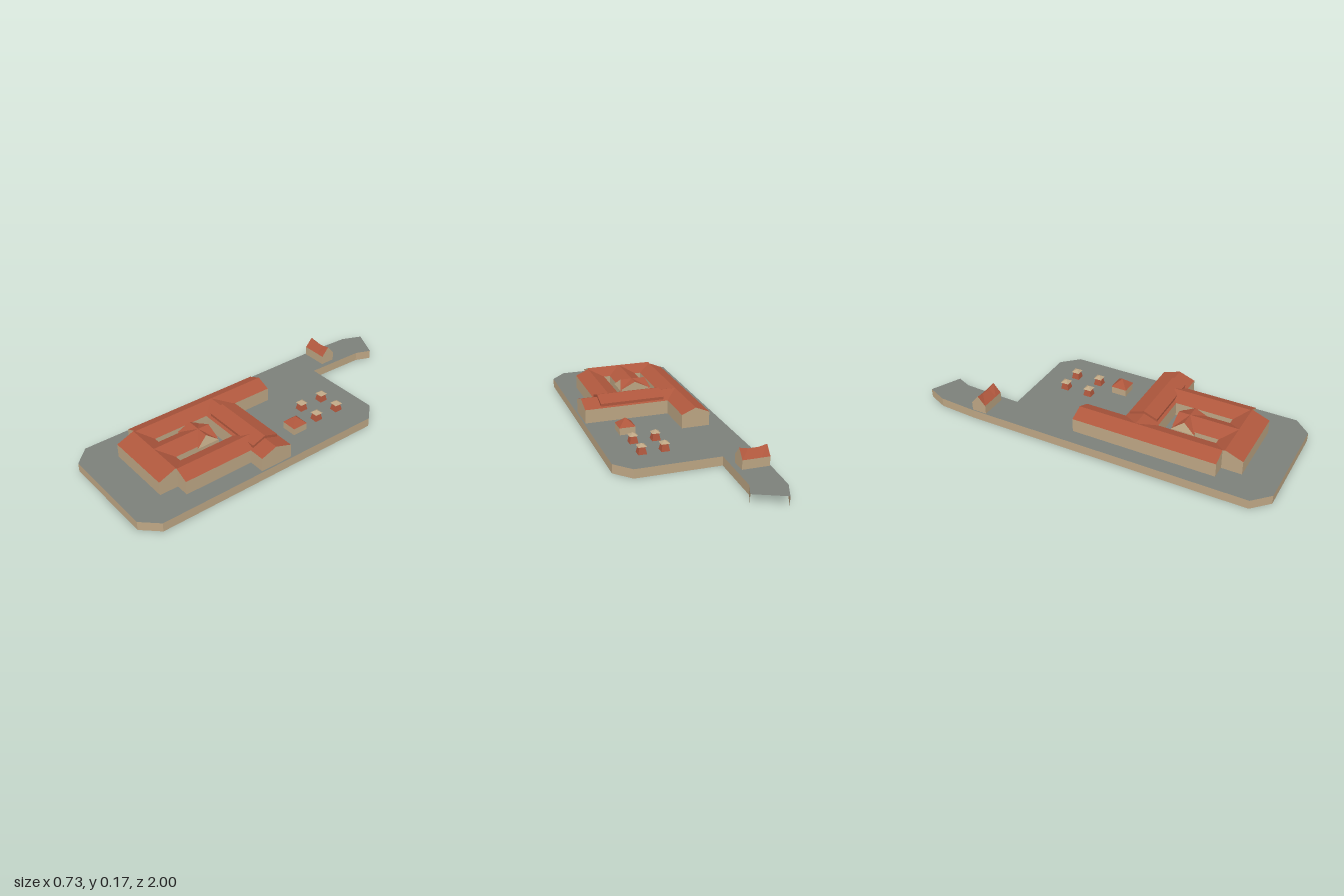
import * as THREE from 'three';

const material = (name, color) => {
  const m = new THREE.MeshStandardMaterial({ color, side: THREE.DoubleSide, flatShading: true });
  m.name = name;
  return m;
};

export function createModel() {
  const stone = material('sandstone', 0xbda684);
  const tile = material('roofTile', 0xaf573d);
  const paving = material('paving', 0x7c807a);
  const root = new THREE.Group();
  root.name = 'fortifiedMonastery';
  const GROUND = 0.05;

  // Mesh from a list of convex polygons, each a list of [x, y, z] corners
  function faces(name, mat, polys) {
    const pos = [];
    for (const p of polys)
      for (let i = 1; i < p.length - 1; i++) pos.push(...p[0], ...p[i], ...p[i + 1]);
    const g = new THREE.BufferGeometry();
    g.setAttribute('position', new THREE.Float32BufferAttribute(pos, 3));
    g.computeVertexNormals();
    const mesh = new THREE.Mesh(g, mat);
    mesh.name = name;
    return mesh;
  }

  // Gabled building; a..b runs along the ridge, c0..c1 across it.
  // 'profile' lists [t, height] along the ridge, 'lean' draws the ridge ends inward.
  function house(name, axis, [a, b], [c0, c1], ridgeAt, eave, profile, { base = GROUND, lean = 0, wall = stone } = {}) {
    const P = axis === 'x' ? (l, y, c) => [l, y, c] : (l, y, c) => [-c, y, l].map((v, i) => (i === 0 ? c : v));
    const orient = p => (axis === 'x' ? p : p.slice().reverse());
    const ridge = profile.map(([t, h]) => [a + lean + (b - a - 2 * lean) * t, h]);
    const eaves = profile.map(([t]) => a + (b - a) * t);
    const roof = [];
    for (let i = 0; i < ridge.length - 1; i++) {
      const [r0, h0] = ridge[i], [r1, h1] = ridge[i + 1], e0 = eaves[i], e1 = eaves[i + 1];
      roof.push(orient([P(e0, eave, c1), P(e1, eave, c1), P(r1, h1, ridgeAt), P(r0, h0, ridgeAt)]));
      roof.push(orient([P(e1, eave, c0), P(e0, eave, c0), P(r0, h0, ridgeAt), P(r1, h1, ridgeAt)]));
    }
    const [rs, hs] = ridge[0], [re, he] = ridge[ridge.length - 1];
    const walls = [
      [P(a, base, c1), P(b, base, c1), P(b, eave, c1), P(a, eave, c1)],
      [P(b, base, c0), P(a, base, c0), P(a, eave, c0), P(b, eave, c0)],
      [P(b, base, c1), P(b, base, c0), P(b, eave, c0), P(b, eave, c1)],
      [P(a, base, c0), P(a, base, c1), P(a, eave, c1), P(a, eave, c0)],
      [P(b, eave, c1), P(b, eave, c0), P(re, he, ridgeAt)],
      [P(a, eave, c0), P(a, eave, c1), P(rs, hs, ridgeAt)],
    ].map(orient);
    const g = new THREE.Group();
    g.name = name;
    g.add(faces(name + 'Walls', wall, walls), faces(name + 'Roof', tile, roof));
    root.add(g);
  }

  // Square frustum aligned with the axes
  function frustum(name, mat, x, z, halfBottom, halfTop, y0, y1) {
    const geo = new THREE.CylinderGeometry(halfTop * Math.SQRT2, halfBottom * Math.SQRT2, y1 - y0, 4, 1, true);
    geo.rotateY(Math.PI / 4);
    const m = new THREE.Mesh(geo, mat);
    m.position.set(x, (y0 + y1) / 2, z);
    m.name = name;
    root.add(m);
  }

  // Terrace with its causeway, open below and at the causeway's end
  const outline = [
    [-0.143, -0.923], [-0.177, -0.84], [-0.187, -0.505], [0.278, -0.505], [0.362, -0.415],
    [0.362, 0.912], [0.278, 1], [-0.278, 1], [-0.365, 0.912], [-0.365, -0.67], [-0.352, -0.89], [-0.305, -1],
  ];
  const deckGeo = new THREE.ShapeGeometry(new THREE.Shape(outline.map(([x, z]) => new THREE.Vector2(x, -z))));
  deckGeo.rotateX(-Math.PI / 2);
  const deck = new THREE.Mesh(deckGeo, paving);
  deck.name = 'terracePaving';
  deck.position.y = GROUND;
  root.add(deck);
  const sides = [];
  for (let i = 0; i < outline.length - 1; i++) {
    const [x0, z0] = outline[i], [x1, z1] = outline[i + 1];
    sides.push([[x1, 0, z1], [x0, 0, z0], [x0, GROUND, z0], [x1, GROUND, z1]]);
  }
  root.add(faces('terraceWall', stone, sides));

  // Ranges around the courtyards
  const flat = h => [[0, h], [1, h]];
  house('rightWing', 'z', [-0.1, 0.702], [-0.276, -0.119], -0.198, 0.127, flat(0.16));
  house('leftWing', 'z', [0.25, 0.71], [0.108, 0.263], 0.187, 0.127, flat(0.16));
  house('crossHall', 'x', [-0.198, 0.353], [0.132, 0.318], 0.228, 0.127, flat(0.16));
  house('frontHall', 'x', [-0.199, 0.187], [0.638, 0.812], 0.714, 0.127, flat(0.165));
  // Raised roof along the cross hall
  house('upperRoof', 'x', [-0.1, 0.261], [0.146, 0.302], 0.226, 0.147, flat(0.174), { base: 0.13, wall: tile });

  // Church: nave along z and a transept with leaning gables
  house('nave', 'z', [0.383, 0.714], [-0.086, 0.072], -0.007, 0.127, flat(0.166));
  house('transept', 'x', [-0.103, 0.08], [0.383, 0.511], 0.447, 0.12, flat(0.166), { lean: 0.018 });

  // Gatehouse with a sagging ridge
  house('gatehouse', 'x', [-0.36, -0.212], [-0.678, -0.593], -0.636, 0.1,
    [[0, 0.149], [0.32, 0.139], [0.68, 0.139], [1, 0.149]]);

  // Pavilion
  frustum('pavilionWalls', stone, 0.181, -0.043, 0.043, 0.043, GROUND, 0.09);
  frustum('pavilionRoof', tile, 0.181, -0.043, 0.045, 0, 0.09, 0.13);

  // Four tapered kiosks
  for (const x of [0.063, 0.185])
    for (const z of [-0.336, -0.192]) {
      frustum('kioskBody', tile, x, z, 0.023, 0.015, GROUND, 0.09);
      frustum('kioskCap', stone, x, z, 0.023, 0, 0.09, 0.106);
    }
  return root;
}
